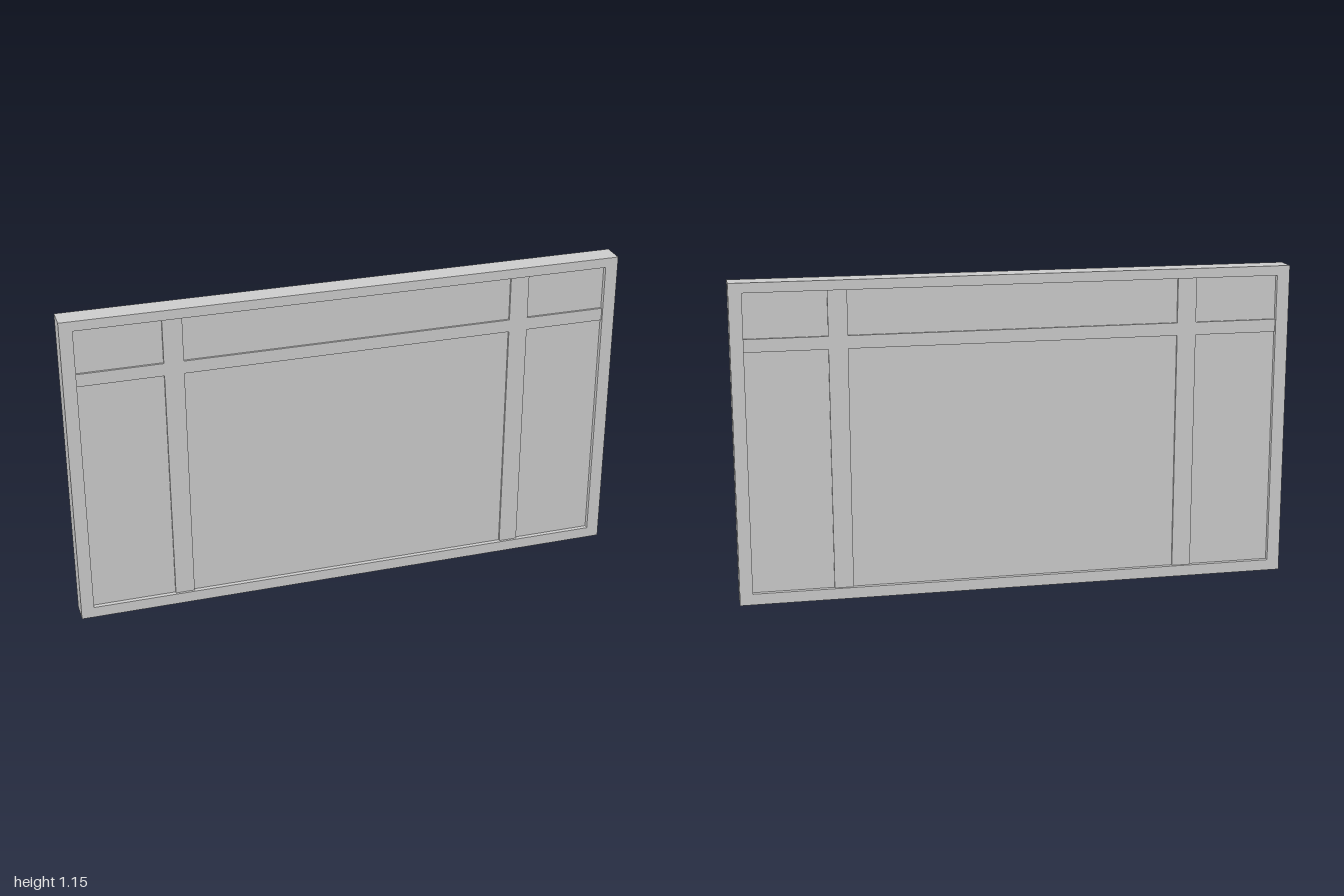
import * as THREE from 'three';

export function createModel() {
  const model = new THREE.Group();
  model.name = 'window';
  const material = new THREE.MeshStandardMaterial({ color: 0xcccccc, flatShading: true });

  const rect = (target, x0, x1, y0, y1) => {
    target.moveTo(x0, y0);
    target.lineTo(x1, y0);
    target.lineTo(x1, y1);
    target.lineTo(x0, y1);
    target.closePath();
    return target;
  };

  // Extruded outline centred on z = 0, with optional rectangular openings
  const slab = (name, bounds, depth, holes = []) => {
    const shape = rect(new THREE.Shape(), ...bounds);
    holes.forEach((h) => shape.holes.push(rect(new THREE.Path(), ...h)));
    const geometry = new THREE.ExtrudeGeometry(shape, { depth, bevelEnabled: false });
    geometry.translate(0, 0, -depth / 2);
    const mesh = new THREE.Mesh(geometry, material);
    mesh.name = name;
    model.add(mesh);
  };

  const left = -0.954, right = 0.954, bottom = 0.04, top = 1.113;
  const railBottom = 0.906, railTop = 0.952;

  // Outer frame
  slab('frame', [-1, 1, 0, 1.148], 0.083, [[left, right, bottom, top]]);

  // Crossing bars, one lattice with six openings
  const columns = [[left, -0.655], [-0.586, 0.596], [0.664, right]];
  const rows = [[bottom, railBottom], [railTop, top]];
  const openings = columns.flatMap((c) => rows.map((r) => [...c, ...r]));
  const overlap = 0.01;
  const inset = openings.map(([x0, x1, y0, y1]) => [x0, x1, y0, y1]);
  slab('glazingBars',
    [left - overlap, right + overlap, bottom - overlap, top + overlap], 0.066, inset);

  // Glass panes, recessed on both faces
  openings.forEach(([x0, x1, y0, y1]) =>
    slab('pane', [x0, x1, y0, y1], 0.05));

  return model;
}
